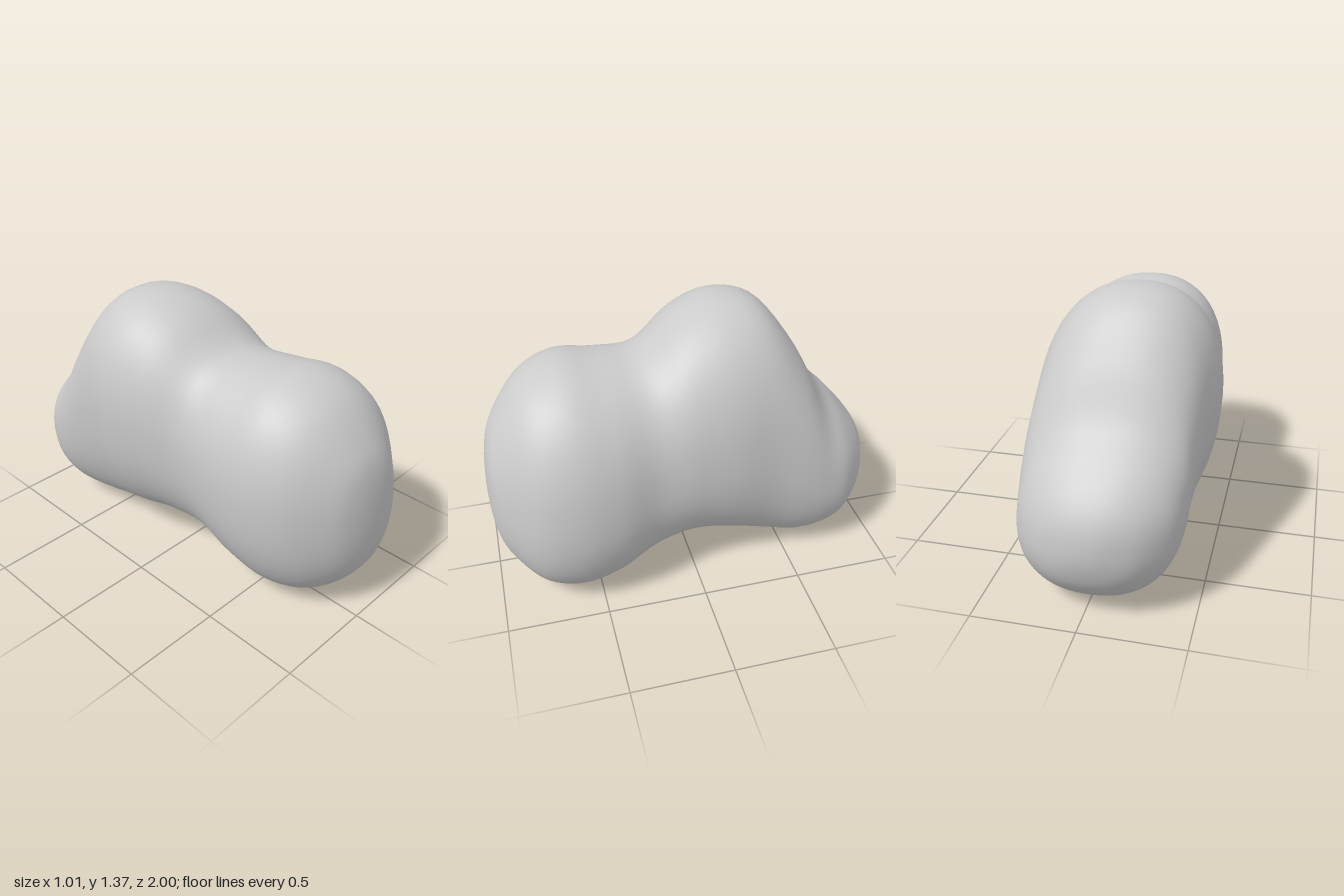
import * as THREE from 'three';
import { mergeVertices } from 'three/addons/utils/BufferGeometryUtils.js';

// Stations from front to back: z, bottom y, top y, min x, max x
const STATIONS = [
  [1.0, 0.55, 0.55, 0.06, 0.06],
  [0.98, 0.34, 0.79, -0.08, 0.21],
  [0.92, 0.19, 0.94, -0.2, 0.31],
  [0.78, 0.05, 1.11, -0.34, 0.45],
  [0.6, 0.0, 1.185, -0.405, 0.497],
  [0.4, 0.04, 1.165, -0.403, 0.475],
  [0.2, 0.125, 1.17, -0.39, 0.41],
  [0.0, 0.155, 1.31, -0.46, 0.4],
  [-0.2, 0.115, 1.37, -0.5, 0.395],
  [-0.4, 0.05, 1.325, -0.465, 0.37],
  [-0.57, 0.012, 1.12, -0.44, 0.365],
  [-0.7, 0.025, 0.89, -0.43, 0.35],
  [-0.82, 0.075, 0.765, -0.39, 0.31],
  [-0.93, 0.19, 0.635, -0.28, 0.2],
  [-0.985, 0.31, 0.53, -0.15, 0.07],
  [-1.0, 0.42, 0.42, -0.04, -0.04],
];
const RINGS = 75;
const SIDES = 56;
const SKEW = -0.09; // sections lean towards -x as they rise
const ROUNDNESS = 2 / 2.25; // slightly fuller than an ellipse

// Lofted lobed body with rounded poles at both ends
function createBodyGeometry() {
  // One closed curve: out along the upper limits, back along the lower limits
  const upper = STATIONS.map(([z, , top, , right]) => new THREE.Vector3(right, top, z));
  const lower = STATIONS.slice(1, -1).reverse()
    .map(([z, bottom, , left]) => new THREE.Vector3(left, bottom, z));
  const limits = new THREE.CatmullRomCurve3([...upper, ...lower], true, 'catmullrom', 0.5);

  const bulge = (v) => Math.sign(v) * Math.abs(v) ** ROUNDNESS;
  const positions = [];
  const indices = [];
  for (let i = 0; i <= RINGS; i++) {
    const t = (i / RINGS) * 0.5;
    const hi = limits.getPoint(t);
    const lo = limits.getPoint((1 - t) % 1);
    const center = hi.clone().add(lo).multiplyScalar(0.5);
    const halfWidth = (hi.x - lo.x) / 2;
    const halfHeight = (hi.y - lo.y) / 2;
    for (let j = 0; j < SIDES; j++) {
      const angle = (j / SIDES) * Math.PI * 2;
      const dy = halfHeight * bulge(Math.sin(angle));
      const dx = halfWidth * bulge(Math.cos(angle)) + SKEW * dy;
      positions.push(center.x + dx, center.y + dy, center.z);
      if (i < RINGS) {
        const a = i * SIDES + j;
        const b = i * SIDES + ((j + 1) % SIDES);
        indices.push(a, a + SIDES, b, b, a + SIDES, b + SIDES);
      }
    }
  }
  const geometry = new THREE.BufferGeometry();
  geometry.setAttribute('position', new THREE.Float32BufferAttribute(positions, 3));
  geometry.setIndex(indices);
  const merged = mergeVertices(geometry, 1e-4);
  merged.computeVertexNormals();
  return merged;
}

export function createModel() {
  const group = new THREE.Group();
  group.name = 'lobedBlob';
  const body = new THREE.Mesh(
    createBodyGeometry(),
    new THREE.MeshStandardMaterial({ color: 0xcccccc }),
  );
  body.name = 'body';
  group.add(body);
  return group;
}
